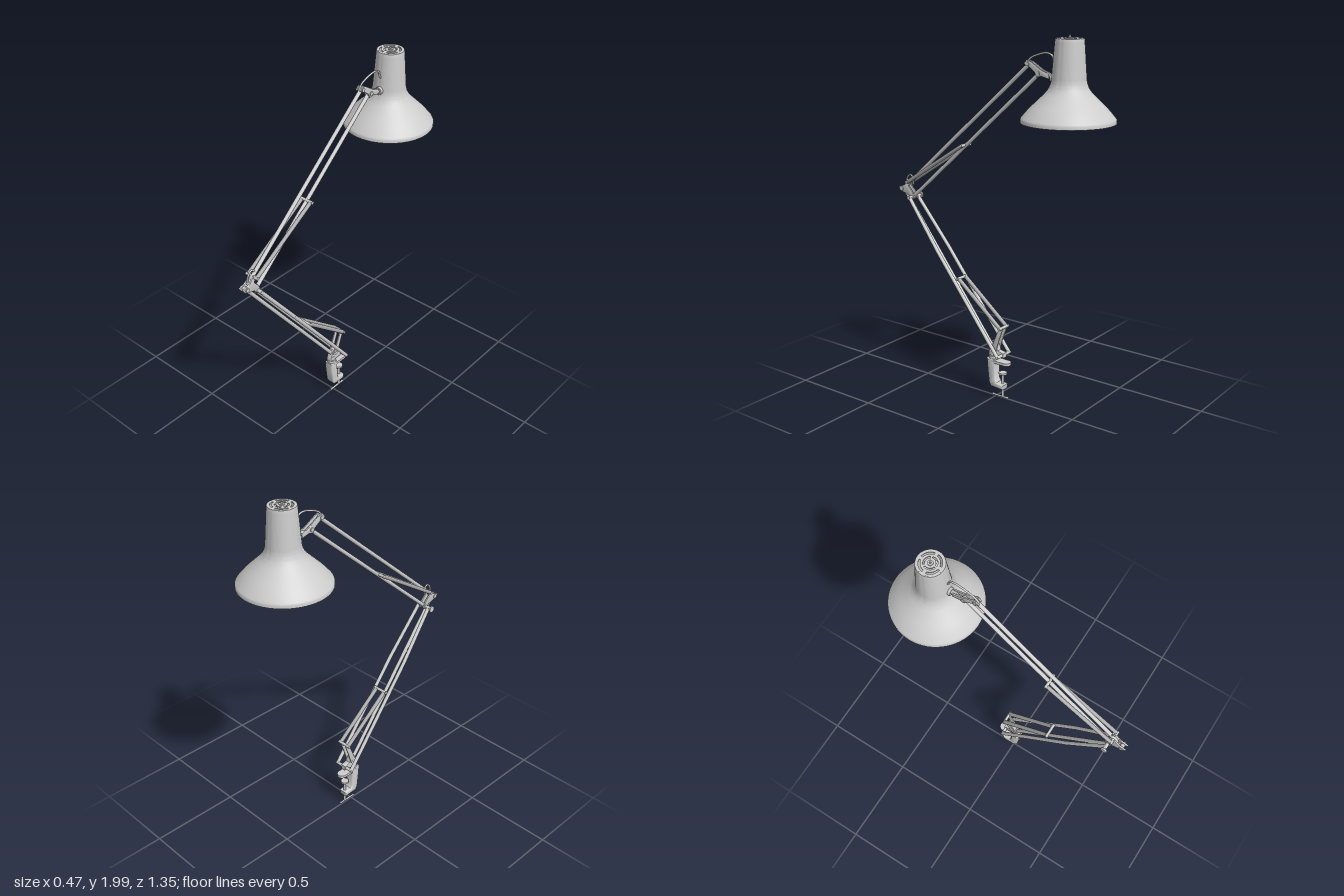
import * as THREE from 'three';
import { toCreasedNormals } from 'three/addons/utils/BufferGeometryUtils.js';

export function createModel() {
  const lamp = new THREE.Group();
  lamp.name = 'deskLamp';
  const stand = new THREE.Group();
  stand.name = 'stand';
  stand.position.x = 0.004;
  const head = new THREE.Group();
  head.name = 'head';
  lamp.add(stand, head);
  let parent = stand;

  const mat = (name, color, side = THREE.FrontSide) => {
    const m = new THREE.MeshStandardMaterial({ color, side });
    m.name = name;
    return m;
  };
  const grey = mat('painted grey', 0xcdcdcd, THREE.DoubleSide);
  const steel = mat('spring steel', 0xa8a8a8);
  const cream = mat('bulb cream', 0xe2e1c2);

  const v = (x, y, z) => new THREE.Vector3(x, y, z);
  function add(name, geometry, material, x = 0, y = 0, z = 0) {
    const mesh = new THREE.Mesh(geometry, material);
    mesh.name = name;
    mesh.position.set(x, y, z);
    parent.add(mesh);
    return mesh;
  }
  // Round bar between two points
  function rod(name, a, b, r, material = grey, sides = 16) {
    const d = b.clone().sub(a);
    const mesh = add(name, new THREE.CylinderGeometry(r, r, d.length(), sides), material);
    mesh.position.copy(a).addScaledVector(d, 0.5);
    mesh.quaternion.setFromUnitVectors(v(0, 1, 0), d.normalize());
  }
  // Pin lying across the lamp
  const pin = (name, half, y, z, r) => rod(name, v(-half, y, z), v(half, y, z), r);
  // Side plate from [z, y] points, centred on x, with rounded edges
  function plate(name, points, width, x = 0, round = 0.003) {
    const shape = new THREE.Shape(points.map(p => new THREE.Vector2(p[0], p[1])));
    const depth = width - 2 * round;
    const g = new THREE.ExtrudeGeometry(shape, {
      depth, bevelThickness: round, bevelSize: round, bevelOffset: 0.003 - round, bevelSegments: 4,
    });
    g.translate(0, 0, -depth / 2).rotateY(-Math.PI / 2);
    add(name, toCreasedNormals(g, 0.7), grey, x);
  }
  function cable(name, points, r) {
    const curve = new THREE.CatmullRomCurve3(points.map(p => v(0, p[1], p[0])));
    add(name, new THREE.TubeGeometry(curve, 32, r, 8), grey);
  }

  // Table clamp
  plate('clampBody', [[0.042, 0.228], [0.04, 0.19], [0.028, 0.09], [0.016, 0.07], [-0.06, 0.065],
    [-0.064, 0.088], [-0.02, 0.094], [-0.008, 0.11], [-0.006, 0.2], [-0.006, 0.228]], 0.054, 0, 0.01);
  const jaw = new THREE.Shape();
  jaw.moveTo(-0.027, -0.03);
  jaw.lineTo(0.027, -0.03);
  jaw.lineTo(0.027, 0.07);
  jaw.absarc(0, 0.07, 0.027, 0, Math.PI, false);
  const jawGeo = new THREE.ExtrudeGeometry(jaw, { depth: 0.015, bevelEnabled: false, curveSegments: 20 });
  add('clampJaw', jawGeo.rotateX(-Math.PI / 2), grey, 0, 0.209, 0);
  rod('clampScrew', v(0, 0.014, -0.048), v(0, 0.152, -0.048), 0.0075);
  rod('clampPad', v(0, 0.148, -0.048), v(0, 0.158, -0.048), 0.023, grey, 24);
  rod('clampHandle', v(0, 0.013, 0.018), v(0, 0.013, -0.08), 0.0055);
  for (const z of [0.018, -0.08])
    add('handleEnd', new THREE.SphereGeometry(0.007, 12, 8), grey, 0, 0.013, z);
  rod('pivotPost', v(0, 0.2, 0.016), v(0, 0.27, 0.016), 0.018);
  rod('pivotCollar', v(0, 0.23, 0.016), v(0, 0.245, 0.016), 0.025, grey, 24);

  // Base bracket that carries the lower arm and its springs
  plate('baseBracket', [[0.036, 0.25], [0.032, 0.275], [0.012, 0.312], [-0.012, 0.31],
    [-0.022, 0.28], [-0.058, 0.272], [-0.058, 0.25], [-0.01, 0.246]], 0.032);
  for (const x of [-0.017, 0.017])
    plate('springLever', [[0.016, 0.29], [-0.04, 0.422], [-0.058, 0.418], [-0.03, 0.34], [-0.012, 0.28]], 0.008, x);
  pin('baseAxle', 0.06, 0.261, -0.05, 0.009);
  pin('basePin', 0.022, 0.29, 0, 0.011);

  // Lower arm: a centre bar and a bowed pair
  rod('lowerBar', v(0, 0.28, 0.01), v(0, 1.09, 0.64), 0.0105);
  for (const s of [-1, 1]) {
    const low = v(s * 0.053, 0.261, -0.05), mid = v(s * 0.051, 0.79, 0.366), top = v(s * 0.035, 1.06, 0.578);
    rod('lowerSideBar', low, mid, 0.0105);
    rod('lowerSideBarTop', mid, top, 0.0105);
    add('sideBarBend', new THREE.SphereGeometry(0.0105, 12, 8), grey).position.copy(mid);
    rod('lowerSpring', v(s * 0.029, 0.42, -0.048), v(s * 0.029, 0.648, 0.232), 0.0115, steel);
  }
  pin('lowerSpringPin', 0.042, 0.42, -0.05, 0.0085);
  pin('lowerSpringTopPin', 0.044, 0.65, 0.236, 0.0085);

  // Elbow bracket and its tightening knob
  for (const x of [-0.013, 0.013])
    plate('elbowPlate', [[0.672, 1.106], [0.662, 1.09], [0.6, 1.072], [0.582, 1.048], [0.562, 1.056],
      [0.578, 1.09], [0.604, 1.118], [0.592, 1.15], [0.606, 1.154], [0.63, 1.122]], 0.01, x);
  pin('elbowAxle', 0.046, 1.06, 0.578, 0.01);
  pin('elbowPin', 0.022, 1.1, 0.65, 0.012);
  rod('elbowKnobStem', v(-0.044, 1.06, 0.578), v(-0.058, 1.06, 0.578), 0.009);
  rod('elbowKnob', v(-0.054, 1.06, 0.578), v(-0.063, 1.06, 0.578), 0.018, grey, 20);
  cable('elbowCable', [[0.63, 1.12], [0.622, 1.165], [0.6, 1.184], [0.582, 1.17], [0.578, 1.13]], 0.005);

  // Upper arm: two parallel bars with a pair of springs
  rod('upperBar', v(0, 1.115, 0.632), v(0, 1.845, -0.205), 0.0105);
  rod('upperBarUnder', v(0, 1.062, 0.578), v(0, 1.806, -0.27), 0.0105);
  for (const s of [-1, 1])
    rod('upperSpring', v(s * 0.029, 1.148, 0.595), v(s * 0.029, 1.395, 0.205), 0.0105, steel);
  pin('upperSpringPin', 0.04, 1.148, 0.597, 0.0085);
  pin('upperSpringTopPin', 0.042, 1.396, 0.203, 0.0085);

  // Head bracket and shade joint
  for (const x of [-0.011, 0.011])
    plate('headPlate', [[-0.186, 1.85], [-0.2, 1.866], [-0.226, 1.858], [-0.286, 1.822], [-0.33, 1.806],
      [-0.33, 1.786], [-0.29, 1.796], [-0.262, 1.79], [-0.25, 1.814], [-0.215, 1.838]], 0.009, x);
  pin('headPin', 0.02, 1.85, -0.205, 0.011);
  pin('headPinUnder', 0.02, 1.808, -0.27, 0.011);
  rod('shadeArm', v(0, 1.803, -0.31), v(0, 1.785, -0.37), 0.012);
  rod('shadeBoss', v(0, 1.79, -0.342), v(0, 1.79, -0.362), 0.021, grey, 20);
  cable('headCable', [[-0.19, 1.848], [-0.21, 1.875], [-0.26, 1.898], [-0.315, 1.908],
    [-0.345, 1.895], [-0.352, 1.87], [-0.365, 1.855]], 0.005);

  // Shade with a rolled rim
  parent = head;
  const cz = -0.44;
  const flare = new THREE.SplineCurve([[0.234, 1.6], [0.195, 1.645], [0.14, 1.698], [0.106, 1.735],
    [0.09, 1.77], [0.085, 1.81], [0.078, 1.9], [0.072, 1.975]].map(p => new THREE.Vector2(...p)));
  const outer = [new THREE.Vector2(0.237, 1.578), new THREE.Vector2(0.237, 1.594),
    ...flare.getPoints(36), new THREE.Vector2(0.07, 1.984), new THREE.Vector2(0.064, 1.985)];
  add('shade', toCreasedNormals(new THREE.LatheGeometry(outer, 64), 0.6), grey, 0, 0, cz);
  const rim = new THREE.TorusGeometry(0.2345, 0.003, 8, 64).rotateX(Math.PI / 2);
  add('shadeRim', rim, grey, 0, 1.58, cz);

  // Vented cap with two rings of curved slots
  const cap = new THREE.Shape().absarc(0, 0, 0.066, 0, Math.PI * 2);
  for (const [r0, r1, n, turn] of [[0.046, 0.055, 4, 0.2], [0.026, 0.034, 3, 0.6]])
    for (let i = 0; i < n; i++) {
      const a = turn + i * Math.PI * 2 / n, b = a + Math.PI * 2 / n - 0.35;
      const slot = new THREE.Path();
      slot.absarc(0, 0, r1, a, b, false);
      slot.absarc(0, 0, r0, b, a, true);
      slot.closePath();
      cap.holes.push(slot);
    }
  const capGeo = new THREE.ExtrudeGeometry(cap, { depth: 0.006, bevelEnabled: false, curveSegments: 24 });
  add('ventCap', capGeo.rotateX(-Math.PI / 2), grey, 0, 1.979, cz);
  rod('capNut', v(0, 1.984, cz), v(0, 1.99, cz), 0.014, grey, 20);
  rod('capStud', v(0, 1.989, cz), v(0, 2, cz), 0.005);

  // Socket and bulb
  rod('bulbSocket', v(0, 1.77, cz), v(0, 1.96, cz), 0.036, grey, 32);
  const bulb = [[0, 1.612], [0.03, 1.618], [0.054, 1.636], [0.068, 1.666], [0.067, 1.695],
    [0.054, 1.727], [0.038, 1.755], [0.031, 1.785]].map(p => new THREE.Vector2(...p));
  add('bulb', new THREE.LatheGeometry(new THREE.SplineCurve(bulb).getPoints(28), 40), cream, 0, 0, cz);

  return lamp;
}
